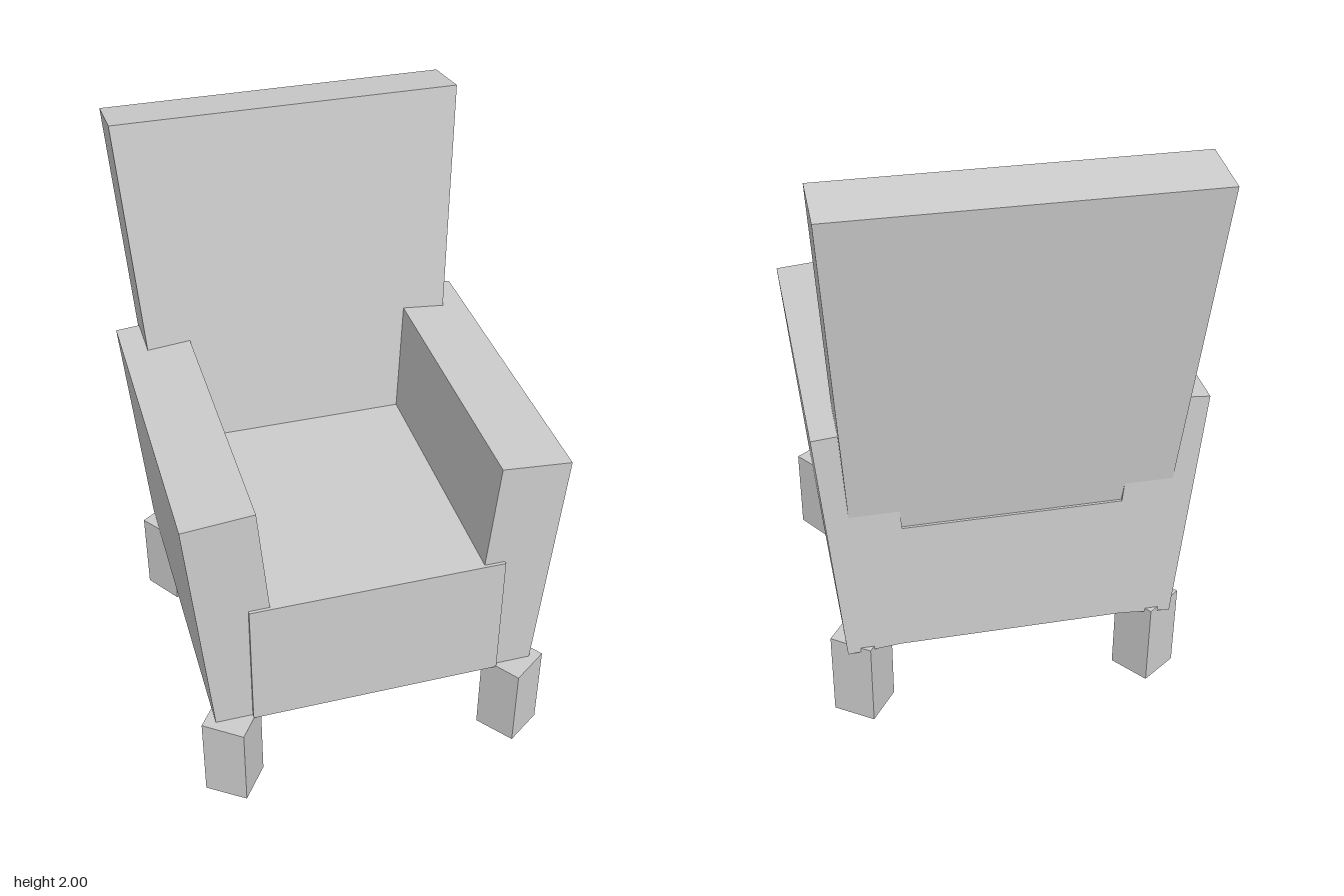
import * as THREE from 'three';

const material = new THREE.MeshStandardMaterial({ color: 0xcccccc, flatShading: true });

// Solid prism from an outline, reaching from z0 to z1
function prism(name, points, z0, z1) {
  const shape = new THREE.Shape(points.map(([x, y]) => new THREE.Vector2(x, y)));
  const geometry = new THREE.ExtrudeGeometry(shape, { depth: z1 - z0, bevelEnabled: false });
  geometry.translate(0, 0, z0);
  const mesh = new THREE.Mesh(geometry, material);
  mesh.name = name;
  return mesh;
}

export function createModel() {
  const chair = new THREE.Group();
  chair.name = 'armchair';

  // Deep seat block, its front slightly proud of the arms
  const seat = new THREE.Mesh(new THREE.BoxGeometry(0.875, 0.485, 1.183), material);
  seat.name = 'seat';
  seat.position.set(0, 0.562, 0.0315);
  chair.add(seat);

  // Backrest, wider at the top and leaning back about its top front edge
  const back = prism('backrest', [[-0.513, -1.5], [0.513, -1.5], [0.603, 0], [-0.603, 0]], -0.212, 0);
  back.position.set(0, 2, -0.498);
  back.rotation.x = -0.134;
  chair.add(back);

  for (const [side, sx] of [['left', 1], ['right', -1]]) {
    // Thick arm tilted outwards
    const arm = new THREE.Mesh(new THREE.BoxGeometry(0.24, 0.877, 1.172), material);
    arm.name = `${side}Arm`;
    arm.position.set(sx * 0.482, 0.751, 0.026);
    arm.rotation.z = -sx * 0.0865;
    chair.add(arm);

    // Square legs turned towards the corners, soles rising slightly outwards
    for (const [end, sz, cz] of [['Front', 1, 0.595], ['Back', -1, -0.475]]) {
      const geometry = new THREE.BoxGeometry(0.153, 0.325, 0.153);
      geometry.rotateY(sx * sz * 0.62);
      geometry.translate(sx * 0.508, 0.1625, cz);
      const p = geometry.attributes.position;
      for (let i = 0; i < p.count; i++) {
        if (p.getY(i) < 0.1) p.setY(i, 0.006 + 0.05 * sz * (p.getZ(i) - cz));
      }
      geometry.computeVertexNormals();
      const leg = new THREE.Mesh(geometry, material);
      leg.name = `${side}${end}Leg`;
      chair.add(leg);
    }
  }
  return chair;
}
